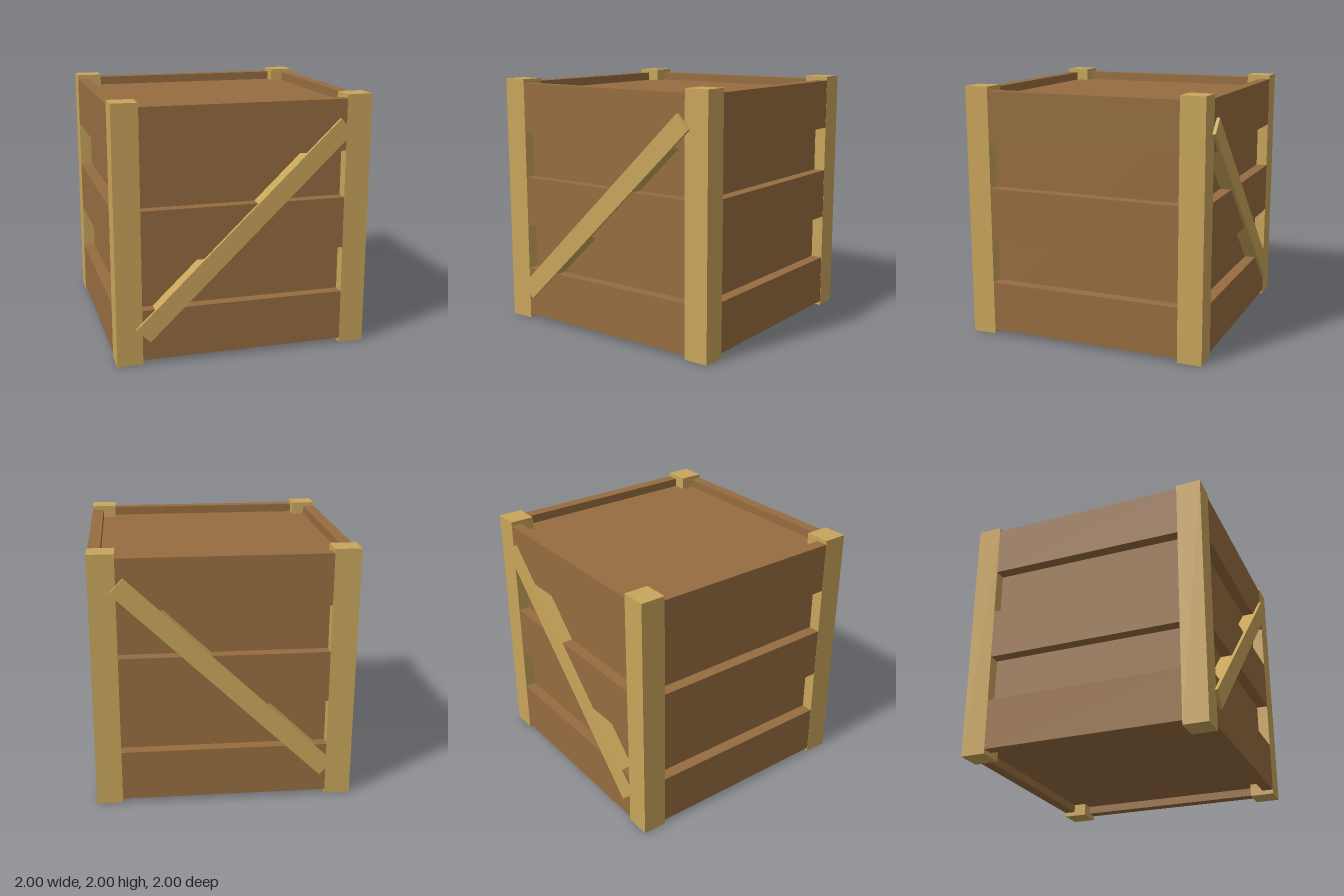
import * as THREE from 'three';

export function createModel() {
  const crate = new THREE.Group();
  crate.name = 'crate';

  const brownWood = new THREE.MeshStandardMaterial({ color: 0x966d40 });
  brownWood.name = 'brown wood';
  const paleWood = new THREE.MeshStandardMaterial({ color: 0xc9a55b });
  paleWood.name = 'pale wood';

  const addBox = (name, material, size, position) => {
    const mesh = new THREE.Mesh(new THREE.BoxGeometry(...size), material);
    mesh.name = name;
    mesh.position.set(...position);
    crate.add(mesh);
    return mesh;
  };

  // Recessed inner box: lid, floor and walls behind the slats
  addBox('innerBox', brownWood, [1.81, 1.8, 1.77], [0, 1, 0]);

  // Corner posts
  for (const x of [-0.9, 0.9]) {
    for (const z of [-0.878, 0.878]) {
      addBox('cornerPost', paleWood, [0.2, 2, 0.194], [x, 1, z]);
    }
  }

  // Three slats on each of the four sides, fitted between the posts
  const slats = [[0.035, 0.433], [0.8, 1.203], [1.57, 1.968]];
  for (const [low, high] of slats) {
    const y = (low + high) / 2;
    const height = high - low;
    for (const side of [-1, 1]) {
      addBox('faceSlat', brownWood, [1.6, height, 0.09], [0, y, side * 0.93]);
      addBox('sideSlat', brownWood, [0.094, height, 1.562], [side * 0.952, y, 0]);
    }
  }

  // Diagonal braces on front and back, both rising toward +x
  for (const side of [-1, 1]) {
    const brace = addBox('diagonalBrace', paleWood, [2.21, 0.15, 0.12], [0, 1.003, side * 0.94]);
    brace.rotation.z = Math.atan2(1.531, 1.595);
  }

  return crate;
}
